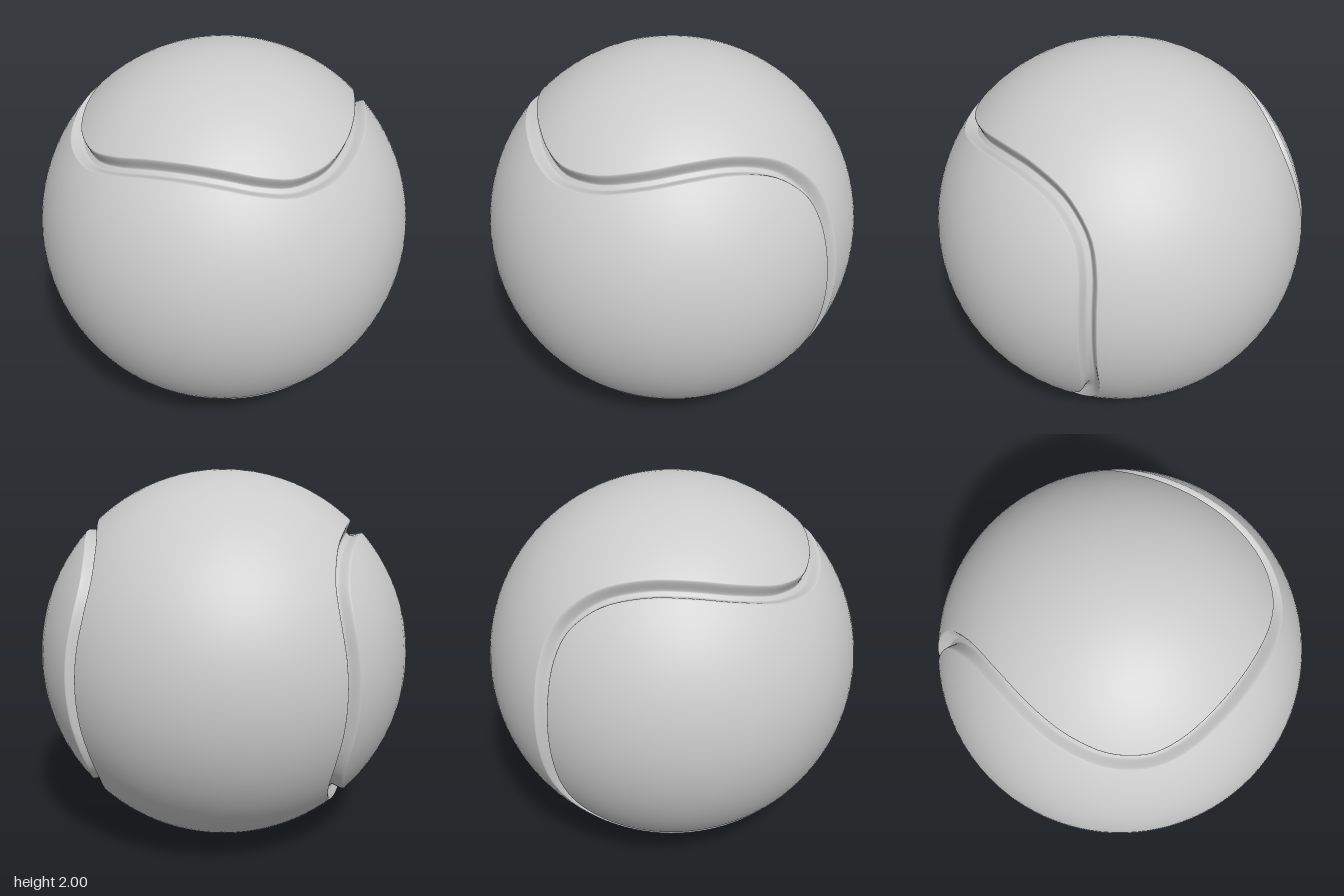
import * as THREE from 'three';

const STEPS = 200;        // samples along the seam
const HALF_WIDTH = 0.048; // half the groove width, as an angle
const DEPTH = 0.06;

// Closed seam on the unit sphere: one eighth, extended by the ball's symmetry
function seamCurve() {
  const eighth = [
    [0, 0.69, 0.72], [0.18, 0.68, 0.71], [0.36, 0.645, 0.67], [0.5, 0.62, 0.6],
    [0.6, 0.625, 0.5], [0.66, 0.64, 0.4], [0.705, 0.675, 0.2], [0.707, 0.707, 0],
  ];
  const swapped = eighth.slice(0, -1).reverse().map(([x, y, z]) => [y, x, -z]);
  const quarter = [...eighth, ...swapped];
  const lower = quarter.slice(1, -1).reverse().map(([x, y, z]) => [x, -y, z]);
  const half = [...quarter, ...lower, [0, -0.69, 0.72]].slice(0, -1);
  const other = half.map(([x, y, z]) => [-x, -y, z]);
  const points = [...half, ...other].map((p) => new THREE.Vector3(...p).normalize());
  return new THREE.CatmullRomCurve3(points, true, 'centripetal');
}

// Seam samples: point, and the direction across the seam towards the back panel
function seamFrames() {
  const points = seamCurve().getSpacedPoints(STEPS).slice(0, STEPS).map((p) => p.normalize());
  return points.map((p, i) => {
    const tangent = points[(i + 1) % STEPS].clone().sub(points[(i + STEPS - 1) % STEPS]);
    return { p, side: p.clone().cross(tangent).normalize() };
  });
}

// Point and normal of the rounded groove at an offset across the seam
function grooveAt({ p, side }, s) {
  const dir = p.clone().multiplyScalar(Math.cos(s)).addScaledVector(side, Math.sin(s));
  const across = side.clone().multiplyScalar(Math.cos(s)).addScaledVector(p, -Math.sin(s));
  const radius = (v) => 1 - DEPTH * (1 - THREE.MathUtils.smoothstep(Math.abs(v), 0.01, HALF_WIDTH));
  const slope = (radius(s + 1e-4) - radius(s - 1e-4)) / 2e-4;
  const r = radius(s);
  const normal = dir.clone().multiplyScalar(r).addScaledVector(across, -slope).normalize();
  return { position: dir.multiplyScalar(r), normal };
}

// Nearest point on a panel's middle arc, which stops short of its rounded ends
function spine(p, isFront) {
  const limit = 1.48;
  const angle = isFront ? Math.atan2(p.x, p.z) : Math.atan2(p.y, -p.z);
  const a = THREE.MathUtils.clamp(angle, -limit, limit);
  return isFront
    ? new THREE.Vector3(Math.sin(a), 0, Math.cos(a))
    : new THREE.Vector3(0, Math.sin(a), -Math.cos(a));
}

// Closed strip of quads; sample(frame, t) gives the surface from t = 0 to t = 1
function strip(name, frames, rows, material, sample) {
  const positions = [], normals = [], indices = [];
  frames.forEach((frame, i) => {
    for (let j = 0; j <= rows; j++) {
      const { position, normal } = sample(frame, j / rows);
      positions.push(...position.toArray());
      normals.push(...normal.toArray());
      if (j === rows) continue;
      const a = i * (rows + 1) + j;
      const b = ((i + 1) % STEPS) * (rows + 1) + j;
      indices.push(a, b, b + 1, a, b + 1, a + 1);
    }
  });
  const geometry = new THREE.BufferGeometry();
  geometry.setAttribute('position', new THREE.Float32BufferAttribute(positions, 3));
  geometry.setAttribute('normal', new THREE.Float32BufferAttribute(normals, 3));
  geometry.setIndex(indices);
  const mesh = new THREE.Mesh(geometry, material);
  mesh.name = name;
  return mesh;
}

export function createModel() {
  const group = new THREE.Group();
  group.name = 'ball';
  const material = new THREE.MeshStandardMaterial({ color: 0xcccccc });
  const frames = seamFrames();

  // Spherical panel spanning from its middle arc to the groove edge
  const onPanel = (frame, isFront, t) => {
    const edge = grooveAt(frame, isFront ? -HALF_WIDTH : HALF_WIDTH).position;
    const position = spine(frame.p, isFront).lerp(edge, t).normalize();
    return { position, normal: position };
  };

  group.add(
    strip('frontPanel', frames, 12, material, (f, t) => onPanel(f, true, t)),
    strip('seamGroove', frames, 20, material, (f, t) => grooveAt(f, (2 * t - 1) * HALF_WIDTH)),
    strip('backPanel', frames, 12, material, (f, t) => onPanel(f, false, 1 - t)),
  );
  group.children.forEach((mesh) => { mesh.position.y = 1; });
  return group;
}
